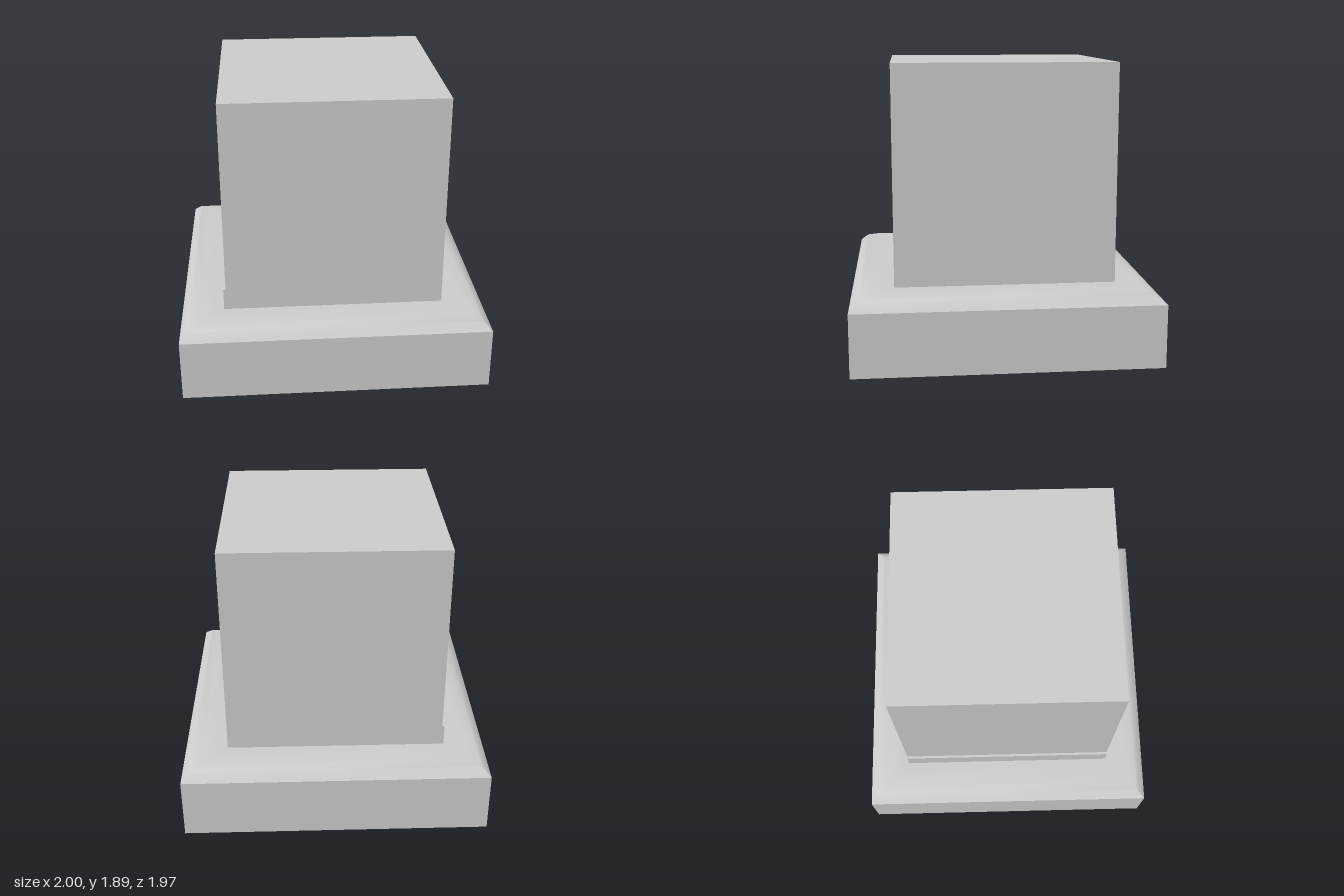
import * as THREE from 'three';
import { toCreasedNormals } from 'three/addons/utils/BufferGeometryUtils.js';

const material = new THREE.MeshStandardMaterial({ color: 0xcccccc });

function addBox(group, name, min, max) {
  const size = max.map((v, i) => v - min[i]);
  const mesh = new THREE.Mesh(new THREE.BoxGeometry(...size), material);
  mesh.position.set(...max.map((v, i) => (v + min[i]) / 2));
  mesh.name = name;
  group.add(mesh);
}

// Stacks rectangular rings, each [halfX, y, halfZ], and closes the top
function ringStack(rings) {
  const corners = [[-1, 1], [1, 1], [1, -1], [-1, -1]];
  const positions = [];
  const index = [];
  for (const [hx, y, hz] of rings) {
    for (const [sx, sz] of corners) positions.push(sx * hx, y, sz * hz);
  }
  for (let r = 0; r < rings.length - 1; r++) {
    for (let i = 0; i < 4; i++) {
      const a = r * 4 + i, b = r * 4 + (i + 1) % 4;
      index.push(a, b, b + 4, a, b + 4, a + 4);
    }
  }
  const t = (rings.length - 1) * 4;
  index.push(t, t + 1, t + 2, t, t + 2, t + 3);
  const geometry = new THREE.BufferGeometry();
  geometry.setAttribute('position', new THREE.Float32BufferAttribute(positions, 3));
  geometry.setIndex(index);
  return toCreasedNormals(geometry, 0.8);
}

export function createModel() {
  const group = new THREE.Group();

  // Square base slab
  addBox(group, 'baseSlab', [-1, 0, -0.985], [1, 0.41, 0.985]);

  // Rounded, mitred shoulder on top of the slab
  const profile = [[0, 0.41], [0.055, 0.46], [0.13, 0.485], [0.24, 0.487]];
  const shoulder = new THREE.Mesh(
    ringStack(profile.map(([inset, y]) => [1 - inset, y, 0.985 - inset])), material);
  shoulder.name = 'baseShoulder';
  group.add(shoulder);

  // Main block
  addBox(group, 'block', [-0.705, 0.45, -0.71], [0.71, 1.895, 0.708]);

  // Thin skirting strip along one side of the block
  addBox(group, 'sideStrip', [-0.72, 0.45, -0.71], [-0.7, 0.63, 0.708]);

  return group;
}
